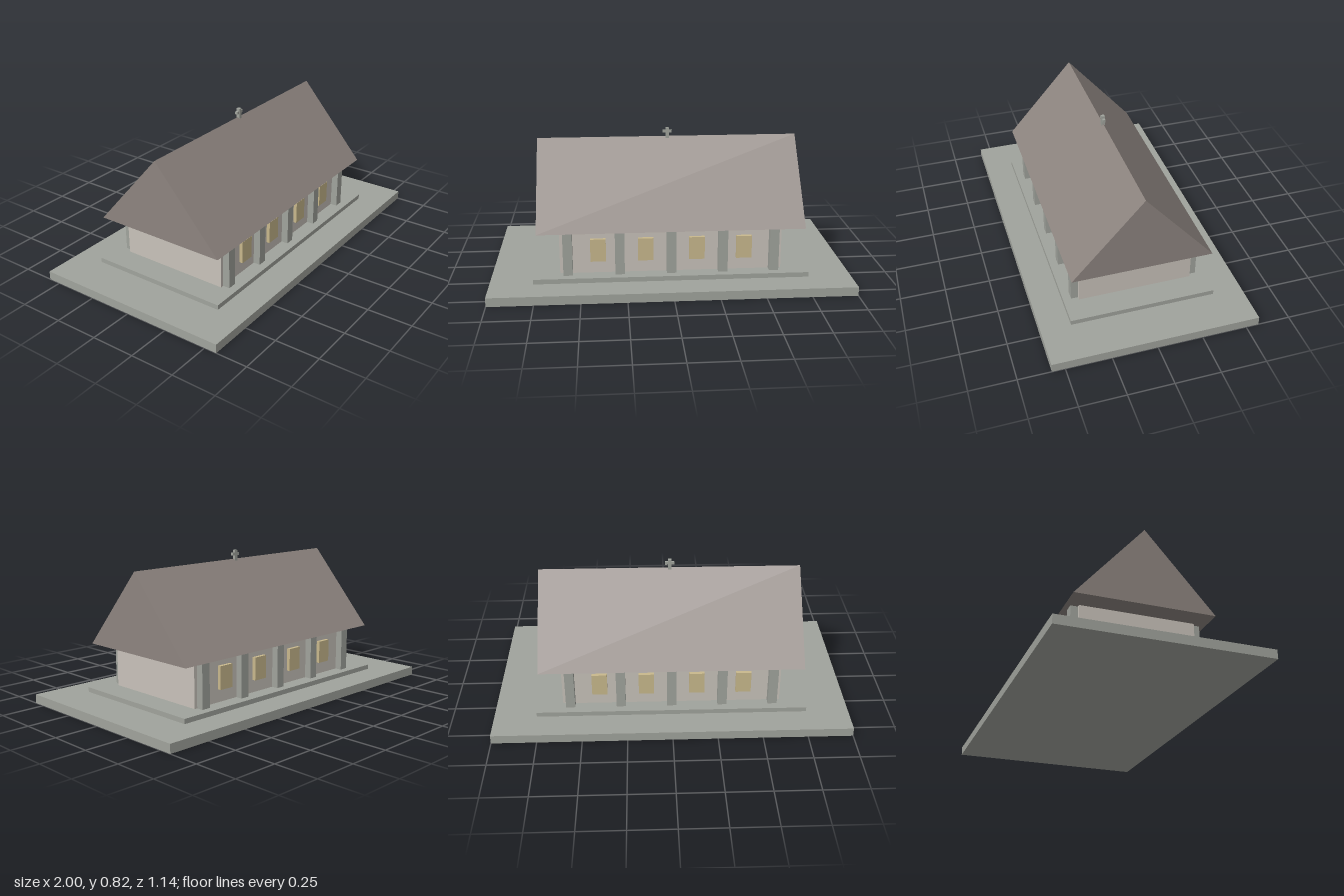
import * as THREE from 'three';

function material(name, color) {
  const m = new THREE.MeshStandardMaterial({ color });
  m.name = name;
  return m;
}

export function createModel() {
  const group = new THREE.Group();
  const stone = material('grey stone', 0xa0a39c);
  const plaster = material('pale plaster', 0xc8c2ba);
  const tiles = material('brown roof', 0x8d847f);
  const glass = material('amber glass', 0xc8b88c);

  // Box resting on height y0, centred on x and z
  function box(name, mat, w, y0, y1, d, x = 0, z = 0, parent = group) {
    const mesh = new THREE.Mesh(new THREE.BoxGeometry(w, y1 - y0, d), mat);
    mesh.name = name;
    mesh.position.set(x, (y0 + y1) / 2, z);
    parent.add(mesh);
    return mesh;
  }

  // Stepped base and hall
  box('groundSlab', stone, 2, 0, 0.05, 1.142);
  box('plinth', stone, 1.522, 0.05, 0.077, 0.81);
  box('walls', plaster, 1.234, 0.077, 0.328, 0.64);

  // Pillars and windows along both long sides
  for (const side of [1, -1]) {
    for (let i = -2; i <= 2; i++) {
      box('pillar', stone, 0.052, 0.077, 0.328, 0.052, i * 0.286, side * 0.334);
    }
    for (const x of [-0.405, -0.142, 0.142, 0.405]) {
      box('window', glass, 0.086, 0.148, 0.277, 0.03, x, side * 0.325);
    }
  }

  // Solid gable roof, extruded along x
  const gable = new THREE.Shape();
  gable.moveTo(-0.389, 0.328);
  gable.lineTo(0.389, 0.328);
  gable.lineTo(0, 0.772);
  gable.closePath();
  const roofGeometry = new THREE.ExtrudeGeometry(gable, { depth: 1.474, bevelEnabled: false });
  roofGeometry.translate(0, 0, -0.737);
  roofGeometry.rotateY(Math.PI / 2);
  const roof = new THREE.Mesh(roofGeometry, tiles);
  roof.name = 'roof';
  group.add(roof);

  // Small cross on the ridge
  const cross = new THREE.Group();
  cross.name = 'ridgeCross';
  box('crossPost', stone, 0.019, 0.762, 0.822, 0.019, 0, 0, cross);
  box('crossArm', stone, 0.052, 0.792, 0.808, 0.015, 0, 0, cross);
  group.add(cross);

  return group;
}
